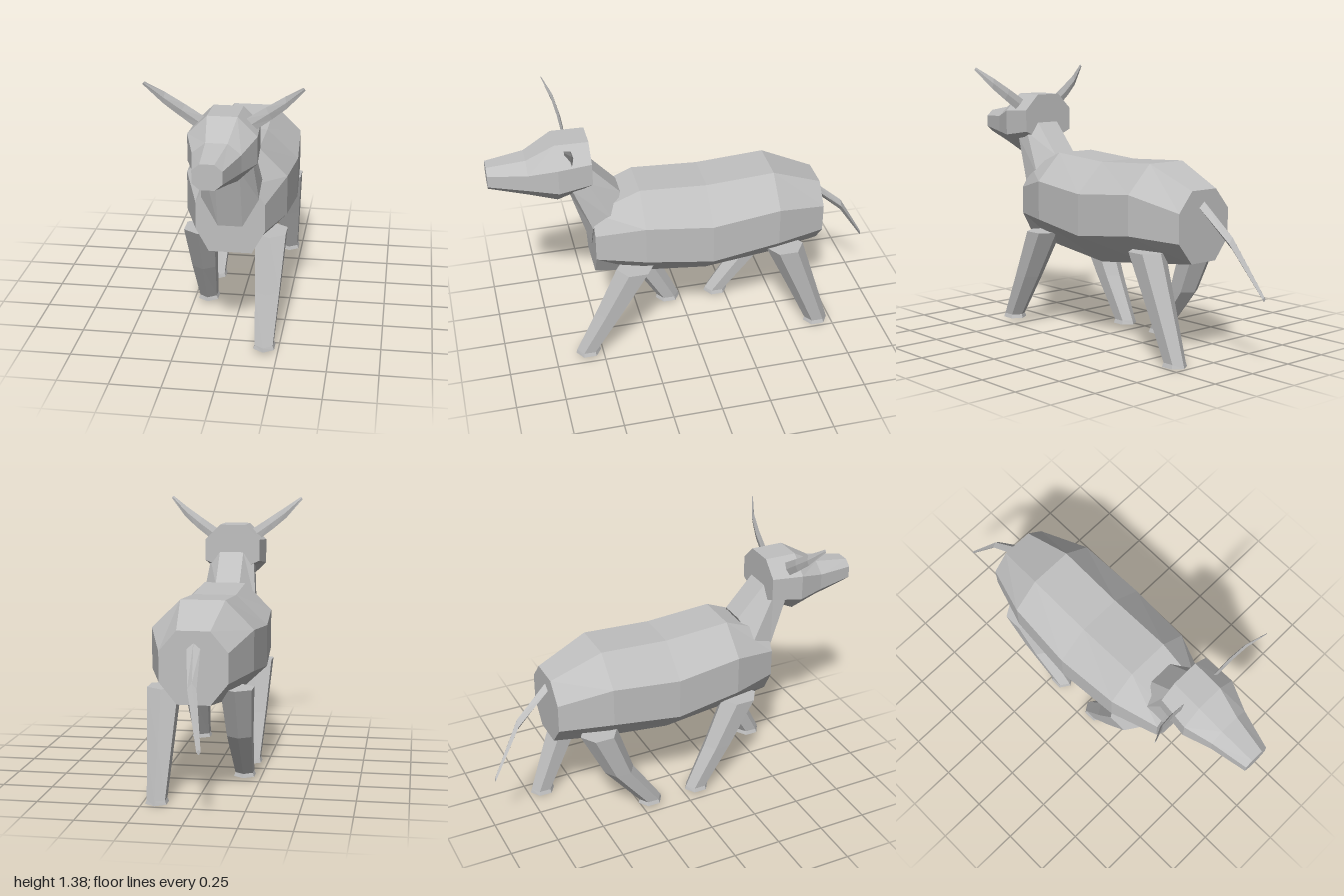
import * as THREE from 'three';

// Skin a list of equal-length rings of [x, y, z] points and close both ends.
function loft(rings) {
  const tris = [];
  const n = rings[0].length;
  for (let r = 0; r < rings.length - 1; r++) {
    for (let i = 0; i < n; i++) {
      const j = (i + 1) % n;
      const [a, b, c, d] = [rings[r][i], rings[r][j], rings[r + 1][j], rings[r + 1][i]];
      tris.push([a, b, c], [a, c, d]);
    }
  }
  const first = rings[0], last = rings[rings.length - 1];
  for (let i = 1; i < n - 1; i++) {
    tris.push([first[0], first[i + 1], first[i]], [last[0], last[i], last[i + 1]]);
  }
  // Turn the faces outwards if the enclosed volume is negative
  const v = (p) => new THREE.Vector3(...p);
  let volume = 0;
  for (const [a, b, c] of tris) volume += v(a).dot(v(b).cross(v(c)));
  if (volume < 0) tris.forEach((t) => t.reverse());
  const geometry = new THREE.BufferGeometry();
  geometry.setAttribute('position', new THREE.Float32BufferAttribute(tris.flat(2), 3));
  geometry.computeVertexNormals();
  return geometry;
}

// Eight-sided ring: centre x, half width, half width of top and bottom, four heights
const octagon = ([z, cx, w, inner, top, upper, lower, bottom]) => [
  [inner, top], [w, upper], [w, lower], [inner, bottom],
  [-inner, bottom], [-w, lower], [-w, upper], [-inner, top],
].map(([x, y]) => [cx + x, y, z]);

// Eight-sided ring from four points of its left half, mirrored
const mirrorRing = (half) => [
  ...half, ...half.slice().reverse().map(([x, y, z]) => [-x, y, z]),
].map(([x, y, z]) => [x + 0.005, y, z]);

// Horizontal six-sided ring with points towards the front and back
const hexagon = ([x, y, z, rx, rz]) => [
  [0, 1], [1, 0.5], [1, -0.5], [0, -1], [-1, -0.5], [-1, 0.5],
].map(([u, v]) => [x + u * rx, y, z + v * rz]);

export function createModel() {
  const model = new THREE.Group();
  const grey = new THREE.MeshStandardMaterial({ color: 0xc0c0c0 });
  grey.name = 'grey';
  grey.flatShading = true;
  const add = (name, rings) => {
    const mesh = new THREE.Mesh(loft(rings), grey);
    mesh.name = name;
    model.add(mesh);
  };

  // Barrel-shaped body
  add('body', [
    [0.51, 0.005, 0.168, 0.105, 0.84, 0.74, 0.6, 0.485],
    [0.27, 0.005, 0.25, 0.11, 0.94, 0.8, 0.6, 0.45],
    [-0.07, 0.005, 0.27, 0.11, 0.92, 0.77, 0.56, 0.41],
    [-0.42, 0.005, 0.25, 0.11, 0.94, 0.8, 0.6, 0.45],
    [-0.68, 0.005, 0.165, 0.08, 0.83, 0.73, 0.585, 0.48],
  ].map(octagon));

  // Neck, from the chest up into the head
  add('neck', [
    mirrorRing([[0.065, 0.92, 0.36], [0.148, 0.81, 0.41], [0.14, 0.77, 0.515], [0.06, 0.625, 0.515]]),
    mirrorRing([[0.065, 1.08, 0.505], [0.12, 1.03, 0.53], [0.12, 1.0, 0.605], [0.06, 0.945, 0.61]]),
  ]);

  // Head, tapering to the muzzle
  add('head', [
    [0.505, 0, 0.15, 0.07, 1.23, 1.15, 1.035, 1.0],
    [0.67, -0.005, 0.162, 0.07, 1.23, 1.14, 1.01, 0.92],
    [0.81, -0.01, 0.112, 0.05, 1.15, 1.1, 1.015, 0.955],
    [1.0, -0.022, 0.068, 0.033, 1.12, 1.09, 1.03, 1.0],
  ].map(octagon));

  // Thin pointed ears: outer edge, inner edge, depth, half thickness
  const earStations = [
    [0.095, 1.2, 0.13, 1.14, 0.6, 0.007],
    [0.185, 1.26, 0.215, 1.205, 0.607, 0.008],
    [0.275, 1.32, 0.285, 1.265, 0.623, 0.007],
    [0.36, 1.378, 0.37, 1.365, 0.663, 0.002],
  ];
  for (const [side, name] of [[1, 'leftEar'], [-1, 'rightEar']]) {
    add(name, earStations.map(([x1, y1, x2, y2, z, t]) => [
      [x1, y1, z], [(x1 + x2) / 2, (y1 + y2) / 2, z + t],
      [x2, y2, z], [(x1 + x2) / 2, (y1 + y2) / 2, z - t],
    ].map(([x, y, d]) => [side * x, y, d])));
  }

  // Tail, drooping back and to one side
  add('tail', [
    [0.005, 0.755, -0.67, 0.033, 0.028],
    [-0.018, 0.59, -0.845, 0.022, 0.03],
    [-0.075, 0.34, -0.997, 0.01, 0.013],
  ].map(([x, y, z, w, h]) => [
    [x, y + h, z], [x + w, y, z], [x, y - h, z], [x - w, y, z],
  ]));

  // Legs in mid stride: x, hip z, knee z, foot z, height of the sole
  const legs = {
    leftFrontLeg: [0.183, 0.315, 0.45, 0.578, 0.02],
    rightFrontLeg: [-0.172, 0.315, 0.195, 0.073, 0.02],
    leftRearLeg: [0.183, -0.475, -0.575, -0.67, 0],
    rightRearLeg: [-0.172, -0.475, -0.37, -0.2, 0.02],
  };
  for (const [name, [x, hip, knee, foot, sole]] of Object.entries(legs)) {
    add(name, [
      [x, 0.527, hip, 0.076, 0.098],
      [x, 0.27, knee, 0.06, 0.078],
      [x, sole + 0.02, foot, 0.044, 0.06],
      [x, sole, foot, 0.051, 0.066],
    ].map(hexagon));
  }
  return model;
}
